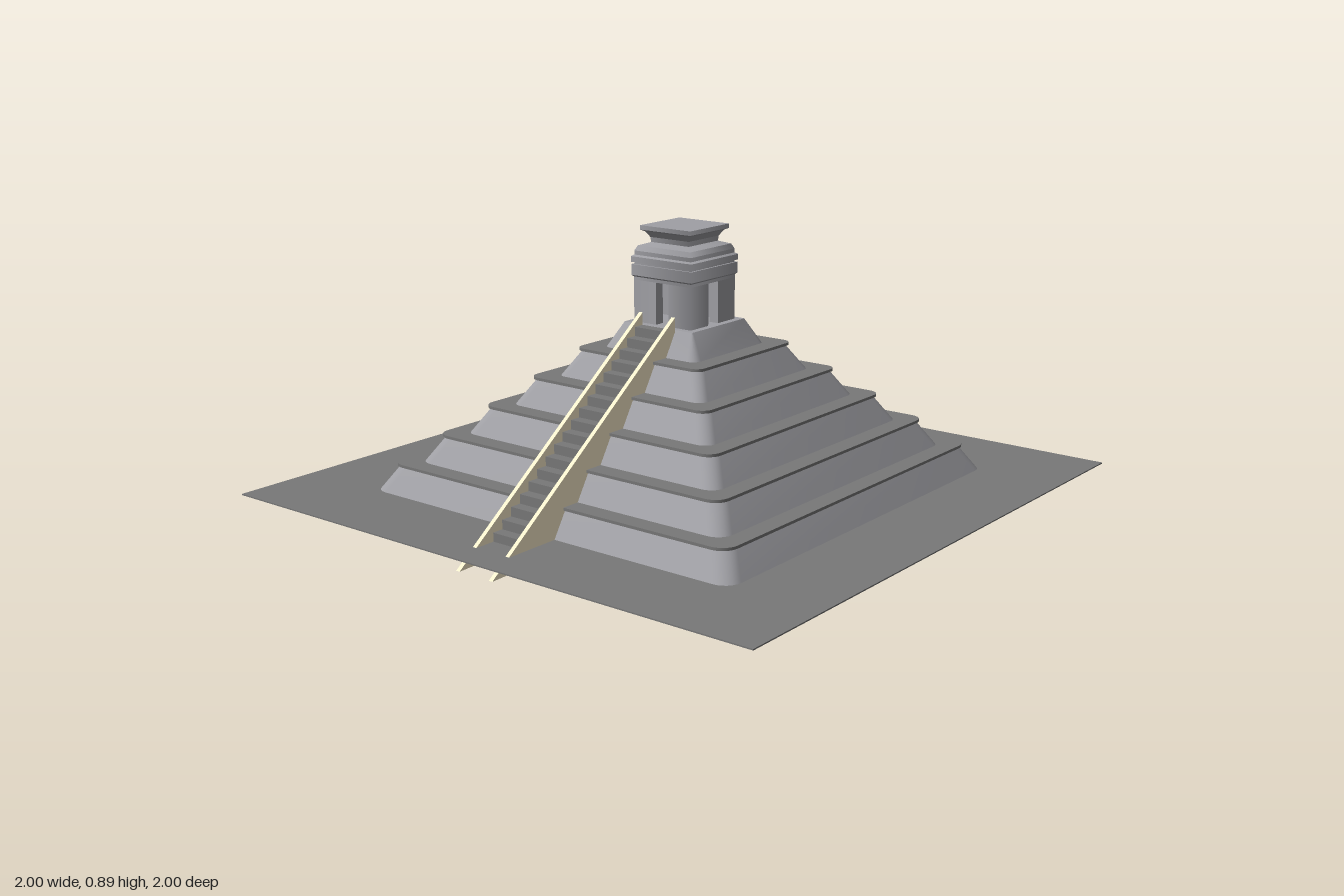
import * as THREE from 'three';
import { mergeGeometries, toCreasedNormals } from 'three/addons/utils/BufferGeometryUtils.js';

const stone = new THREE.MeshStandardMaterial({ color: 0xa0a0a5 });
const darkStone = new THREE.MeshStandardMaterial({ color: 0x787878 });
const sand = new THREE.MeshStandardMaterial({ color: 0xfdf0cd });

function add(parent, name, geometry, material) {
  const mesh = new THREE.Mesh(geometry, material);
  mesh.name = name;
  parent.add(mesh);
  return mesh;
}

// Outline of a square with rounded corners, at height y
function roundedRing(half, r, y, steps = 6) {
  const ring = [];
  for (let c = 0; c < 4; c++) {
    const mid = Math.PI / 4 + c * Math.PI / 2;
    const cx = Math.sign(Math.cos(mid)) * (half - r);
    const cz = Math.sign(Math.sin(mid)) * (half - r);
    for (let s = 0; s <= steps; s++) {
      const a = (c + s / steps) * Math.PI / 2;
      ring.push([cx + r * Math.cos(a), y, cz + r * Math.sin(a)]);
    }
  }
  return ring;
}

// Skin over stacked rings, closed on top
function loft(rings) {
  const pos = [];
  const n = rings[0].length;
  const tri = (...pts) => pts.forEach((p) => pos.push(...p));
  for (let j = 0; j < rings.length - 1; j++) {
    for (let i = 0; i < n; i++) {
      const k = (i + 1) % n;
      const low = rings[j], up = rings[j + 1];
      tri(low[i], up[i], low[k]);
      tri(up[i], up[k], low[k]);
    }
  }
  const top = rings[rings.length - 1];
  for (let i = 0; i < n; i++) tri([0, top[0][1], 0], top[(i + 1) % n], top[i]);
  const g = new THREE.BufferGeometry();
  g.setAttribute('position', new THREE.Float32BufferAttribute(pos, 3));
  return toCreasedNormals(g, 0.5);
}

// Side profile given as (z, y) points, extruded across x and centred there
function sideExtrude(points, width) {
  const shape = new THREE.Shape(points.map(([z, y]) => new THREE.Vector2(z, y)));
  const g = new THREE.ExtrudeGeometry(shape, { depth: width, bevelEnabled: false });
  return g.rotateY(-Math.PI / 2).translate(width / 2, 0, 0);
}

// Four-sided turned form from (half width, y) points, bottom to top:
// shaded smoothly around, with a crease at every profile point
function squareTurned(points) {
  const pts = points.map(([h, y]) => new THREE.Vector2(h * Math.SQRT2, y));
  const bands = pts.slice(1).map((p, i) => new THREE.LatheGeometry([pts[i], p], 4, Math.PI / 4));
  return mergeGeometries(bands);
}

// L-shaped wall corner, its outer faces shaded as if turned
function wallCorner(out, inn, door, y, height) {
  const shape = new THREE.Shape([
    [door, inn], [inn, inn], [inn, door], [out, door], [out, out], [door, out],
  ].map(([x, z]) => new THREE.Vector2(x, z)));
  const g = new THREE.ExtrudeGeometry(shape, { depth: height, bevelEnabled: false })
    .rotateX(-Math.PI / 2).translate(0, y, 0);
  const { position, normal } = g.attributes;
  for (let i = 0; i < position.count; i++) {
    const x = position.getX(i), z = position.getZ(i);
    const outer = x * normal.getX(i) + z * normal.getZ(i) > out - 0.001;
    if (outer) normal.setXYZ(i, x / Math.hypot(x, z), 0, z / Math.hypot(x, z));
  }
  return g;
}

export function createModel() {
  const model = new THREE.Group();
  model.name = 'steppedPyramid';

  add(model, 'ground', new THREE.BoxGeometry(2, 0.004, 2).translate(0, 0.05, 0), darkStone);

  // Terraces: sloping sides under a dark projecting floor slab
  const terraces = new THREE.Group();
  terraces.name = 'terraces';
  model.add(terraces);
  const radius = (half) => 0.02 + 0.05 * half;
  for (let i = 0; i < 5; i++) {
    const half = 0.71 - i * 0.105;
    const y = 0.05 + i * 0.09;
    const lip = half - 0.042;
    add(terraces, `terraceSlope${i + 1}`, loft([
      roundedRing(half, radius(half), y),
      roundedRing(lip - 0.008, radius(lip), y + 0.081),
    ]), stone);
    add(terraces, `terraceFloor${i + 1}`, loft([
      roundedRing(lip - 0.01, radius(lip), y + 0.081),
      roundedRing(lip, radius(lip), y + 0.081),
      roundedRing(lip, radius(lip), y + 0.09),
    ]), darkStone);
  }
  add(terraces, 'templeBase', loft([
    roundedRing(0.185, 0.03, 0.5),
    roundedRing(0.137, 0.004, 0.58),
  ]), stone);

  // Temple walls: four corners leave a doorway on each side
  const temple = new THREE.Group();
  temple.name = 'temple';
  model.add(temple);
  const cornerGeometry = wallCorner(0.114, 0.08, 0.025, 0.58, 0.135);
  for (let i = 0; i < 4; i++) {
    add(temple, `wallCorner${i + 1}`, cornerGeometry, stone).rotation.y = i * Math.PI / 2;
  }

  // Moulded cornice, sloped roof and flaring crown
  add(temple, 'cornice', squareTurned([
    [0, 0.715], [0.114, 0.715], [0.114, 0.725], [0.12, 0.73], [0.12, 0.765],
    [0.113, 0.765], [0.113, 0.772], [0.121, 0.772], [0.121, 0.79],
    [0.113, 0.795], [0.113, 0.808],
  ]), stone);
  add(temple, 'roof', squareTurned([
    [0.113, 0.808], [0.105, 0.824], [0.075, 0.834], [0.077, 0.85],
    [0.088, 0.868], [0.1, 0.874], [0.1, 0.888], [0, 0.888],
  ]), stone);

  // Stairway between two sloping side walls
  const steps = 18, front = 0.83, back = 0.14;
  const run = (front - back) / steps, rise = 0.53 / steps;
  const profile = [[back, 0.5], [0.7, 0.05], [front, 0.05]];
  for (let i = 0; i < steps; i++) {
    const y = 0.05 + (i + 1) * rise;
    profile.push([front - i * run, y], [front - (i + 1) * run, y]);
  }
  add(model, 'stairs', sideExtrude(profile, 0.118), darkStone);

  const wallProfile = [
    [0.97, 0], [0.14, 0.62], [0.14, 0.5], [0.7, 0.05], [0.71, 0.045], [0.76, 0.01], [0.8, 0.003],
  ];
  for (const side of [-1, 1]) {
    add(model, side > 0 ? 'leftStairWall' : 'rightStairWall', sideExtrude(wallProfile, 0.014), sand)
      .position.x = side * 0.065;
  }

  return model;
}
